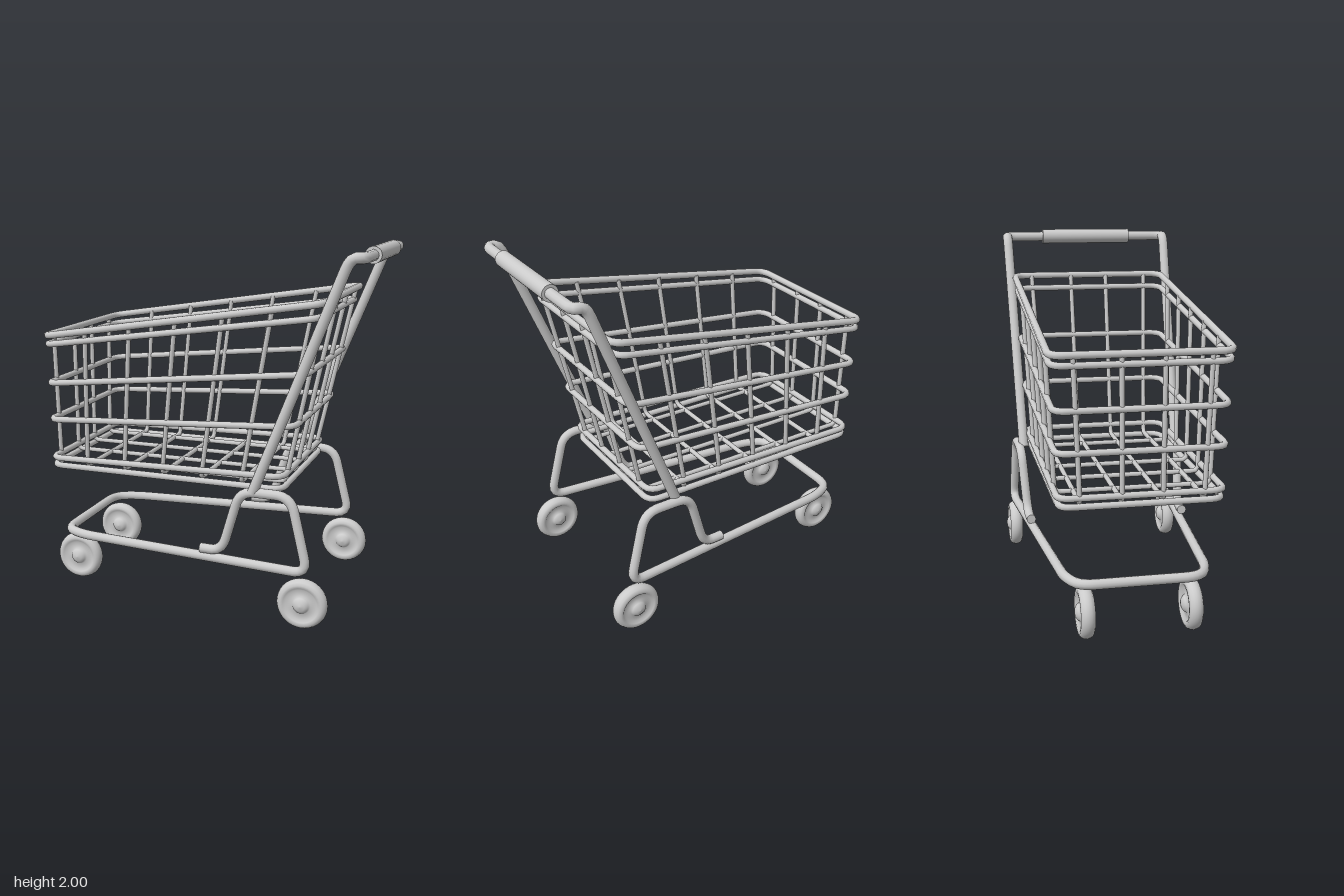
import * as THREE from 'three';

const material = new THREE.MeshStandardMaterial({ color: 0xcccccc });
const V = (x, y, z) => new THREE.Vector3(x, y, z);

function addMesh(parent, geometry, name) {
  const mesh = new THREE.Mesh(geometry, material);
  mesh.name = name;
  parent.add(mesh);
  return mesh;
}

// Path of straight runs with each corner rounded off by a bend
function roundedPath(points, bend, closed) {
  const path = new THREE.CurvePath();
  const n = points.length;
  const toward = (a, b) => {
    const d = a.distanceTo(b);
    return a.clone().lerp(b, Math.min(bend, d * 0.48) / d);
  };
  const first = closed ? points[0].clone().lerp(points[n - 1], 0.5) : points[0];
  let last = first;
  for (let i = closed ? 0 : 1; i < (closed ? n : n - 1); i++) {
    const p = points[i];
    const a = toward(p, points[(i + n - 1) % n]);
    const b = toward(p, points[(i + 1) % n]);
    path.add(new THREE.LineCurve3(last, a));
    path.add(new THREE.QuadraticBezierCurve3(a, p, b));
    last = b;
  }
  path.add(new THREE.LineCurve3(last, closed ? first : points[n - 1]));
  return path;
}

// Bent tube; open tubes get flat end caps
function addTube(parent, name, points, radius, bend, closed = false, sides = 10) {
  const path = roundedPath(points, bend, closed);
  const segments = Math.ceil(path.getLength() / 0.025);
  addMesh(parent, new THREE.TubeGeometry(path, segments, radius, sides, closed), name);
  if (closed) return;
  for (const t of [0, 1]) {
    const cap = addMesh(parent, new THREE.CircleGeometry(radius, sides), name + 'End');
    const out = path.getTangentAt(t).multiplyScalar(t ? 1 : -1);
    cap.position.copy(path.getPointAt(t));
    cap.quaternion.setFromUnitVectors(V(0, 0, 1), out);
  }
}

function buildBasket() {
  const basket = new THREE.Group();
  basket.name = 'basket';
  const nose = -0.89;

  // Hoops: [height at nose, height at rear, rear x, half width, tube radius]
  const hoops = [
    [1.48, 1.725, 0.685, 0.46, 0.02],
    [1.43, 1.65, 0.66, 0.453, 0.018],
    [1.21, 1.36, 0.6, 0.442, 0.018],
    [1.0, 1.08, 0.54, 0.432, 0.018],
    [0.775, 0.8, 0.48, 0.424, 0.018],
    [0.73, 0.73, 0.475, 0.415, 0.018],
  ];
  for (const [yNose, yRear, xRear, w, r] of hoops) {
    addTube(basket, 'basketHoop', [
      V(nose, yNose, -w), V(xRear, yRear, -w), V(xRear, yRear, w), V(nose, yNose, w),
    ], r, 0.07, true);
  }

  // Wires running up one side, across the floor and up the other
  for (let i = 0; i < 5; i++) {
    const xLow = -0.67 + i * 0.229;
    const xTop = -0.64 + i * 0.265;
    const yTop = 1.48 + (xTop - nose) * 0.155;
    addTube(basket, 'crossWire', [
      V(xTop, yTop, -0.45), V(xLow, 0.745, -0.41), V(xLow, 0.745, 0.41), V(xTop, yTop, 0.45),
    ], 0.014, 0.03, false, 8);
  }

  // Wires running down the nose, along the floor and up the rear
  for (const [zLow, zNose, zRear] of [[0.315, 0.345, 0.355], [0.104, 0.108, 0.11]]) {
    for (const s of [-1, 1]) {
      addTube(basket, 'lengthWire', [
        V(nose, 1.48, s * zNose), V(nose, 0.745, s * zLow),
        V(0.465, 0.745, s * zLow), V(0.675, 1.72, s * zRear),
      ], 0.014, 0.03, false, 8);
    }
  }
  return basket;
}

function buildFrame() {
  const frame = new THREE.Group();
  frame.name = 'frame';

  // One tube per cart: loop, rear post, base rail, nose bar, then mirrored back
  const side = (s) => [
    V(0.03, 0.36, s * 0.455), V(0.155, 0.36, s * 0.46), V(0.265, 0.72, s * 0.483),
    V(0.545, 0.72, s * 0.487), V(0.645, 0.31, s * 0.498), V(-0.74, 0.31, s * 0.375),
    V(-0.865, 0.31, s * 0.315),
  ];
  addTube(frame, 'baseFrame', [...side(1), ...side(-1).reverse()], 0.027, 0.085, false, 12);

  // Uprights and push bar
  addTube(frame, 'handleFrame', [
    V(0.335, 0.72, 0.487), V(0.825, 1.955, 0.517), V(0.892, 1.955, 0.517),
    V(0.892, 1.955, -0.485), V(0.825, 1.955, -0.485), V(0.335, 0.72, -0.46),
  ], 0.029, 0.06, false, 12);

  const grip = addMesh(frame, new THREE.CylinderGeometry(0.044, 0.044, 0.555, 24), 'handleGrip');
  grip.rotation.x = Math.PI / 2;
  grip.position.set(0.892, 1.955, 0.02);
  return frame;
}

function buildWheels() {
  const wheels = new THREE.Group();
  wheels.name = 'wheels';

  // Half profile from hub to tread: [radius, offset along the axle]
  const half = [
    [0, 0.054], [0.025, 0.05], [0.042, 0.038], [0.05, 0.024], [0.085, 0.024],
    [0.097, 0.036], [0.113, 0.038], [0.128, 0.03], [0.136, 0.015], [0.139, 0],
  ];
  const mirrored = half.slice(0, -1).reverse().map(([r, h]) => [r, -h]);
  const profile = [...half, ...mirrored].reverse().map(([r, h]) => new THREE.Vector2(r, h));
  const geometry = new THREE.LatheGeometry(profile, 36);
  geometry.rotateX(Math.PI / 2);

  for (const s of [-1, 1]) {
    addMesh(wheels, geometry, 'noseWheel').position.set(-0.805, 0.14, s * 0.28);
    addMesh(wheels, geometry, 'rearWheel').position.set(0.62, 0.14, s * 0.497);
  }
  return wheels;
}

export function createModel() {
  const model = new THREE.Group();
  model.name = 'shoppingCart';
  model.add(buildBasket(), buildFrame(), buildWheels());
  return model;
}
